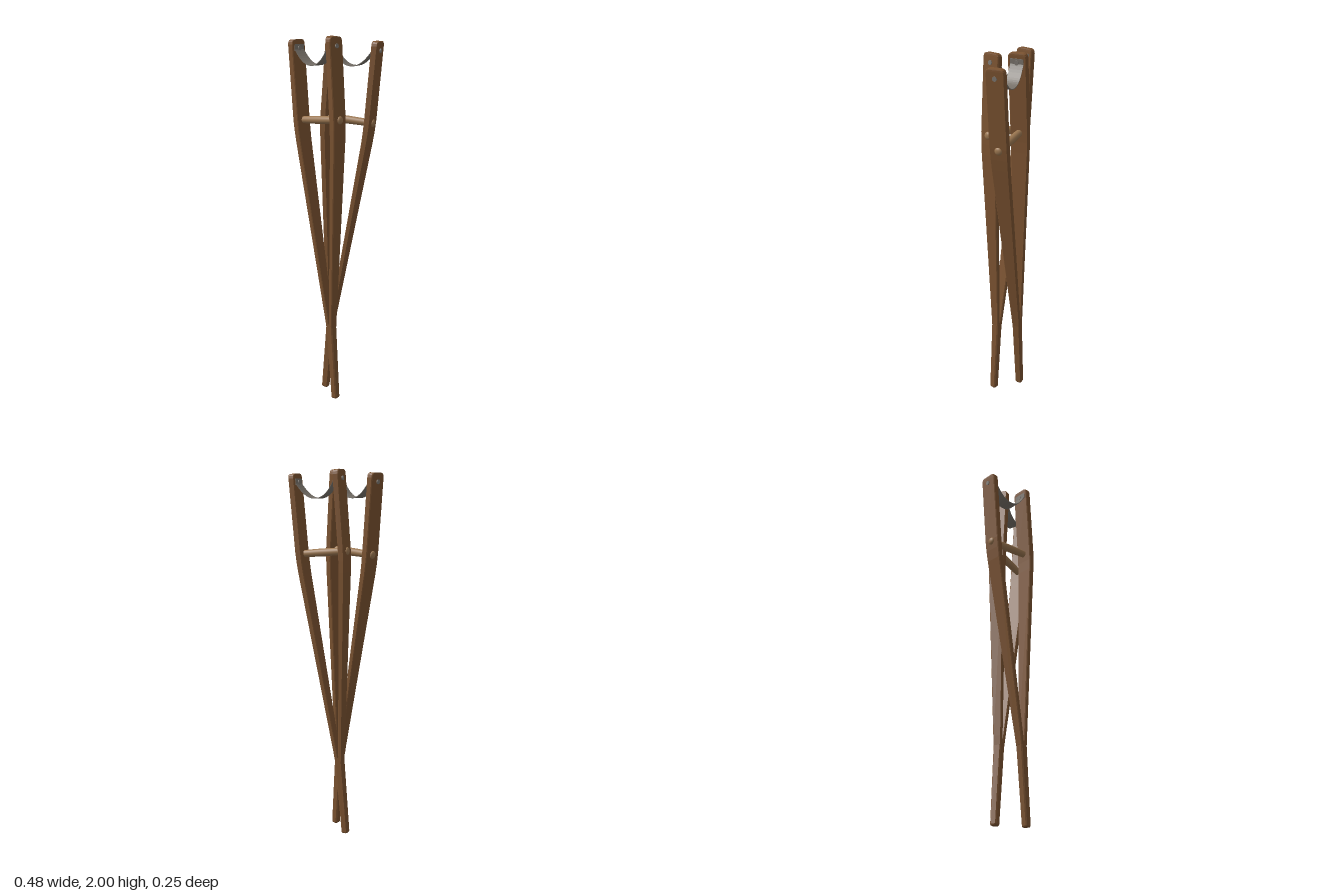
import * as THREE from 'three';

const wood = new THREE.MeshStandardMaterial({ color: 0x7a5230 });
wood.name = 'brown wood';
const paleWood = new THREE.MeshStandardMaterial({ color: 0x9a7650 });
paleWood.name = 'pale wood';
const cloth = new THREE.MeshStandardMaterial({ color: 0x78726a });
cloth.name = 'grey cloth';
const metal = new THREE.MeshStandardMaterial({ color: 0x7c7770 });
metal.name = 'grey metal';

// Loft of bevelled rectangles; each row is [y, centre x, thickness x, width z]
function loft(rows, bevel) {
  const pos = [], idx = [], n = 8;
  for (const [y, cx, t, w] of rows) {
    const a = t / 2, b = w / 2, c = Math.min(bevel, a * 0.6, b * 0.6);
    const ring = [[a, b - c], [a - c, b], [c - a, b], [-a, b - c],
      [-a, c - b], [c - a, -b], [a - c, -b], [a, c - b]];
    for (const [x, z] of ring) pos.push(cx + x, y, z);
  }
  for (let r = 0; r < rows.length - 1; r++) {
    for (let i = 0; i < n; i++) {
      const p = r * n + i, q = r * n + (i + 1) % n;
      idx.push(p, q, p + n, q, q + n, p + n);
    }
  }
  const last = (rows.length - 1) * n;
  for (let i = 1; i < n - 1; i++) {
    idx.push(0, i + 1, i);
    idx.push(last, last + i, last + i + 1);
  }
  // rings run from +z towards -x, so reverse the winding to face outwards
  for (let i = 0; i < idx.length; i += 3) [idx[i + 1], idx[i + 2]] = [idx[i + 2], idx[i + 1]];
  const g = new THREE.BufferGeometry();
  g.setAttribute('position', new THREE.Float32BufferAttribute(pos, 3));
  g.setIndex(idx);
  const flat = g.toNonIndexed();
  flat.computeVertexNormals();
  return flat;
}

function add(group, name, geometry, material) {
  const mesh = new THREE.Mesh(geometry, material);
  mesh.name = name;
  group.add(mesh);
  return mesh;
}

// Thin sagging band between the two uprights
function strapGeometry() {
  const half = 0.112, n = 24, thick = 0.004, top = [], bottom = [];
  for (let i = 0; i <= n; i++) {
    const k = (i / n) * 2 - 1;
    const x = k * half, y = 1.853 + 0.09 * Math.pow(Math.abs(k), 2.2);
    top.push(new THREE.Vector2(x, y + thick));
    bottom.push(new THREE.Vector2(x, y));
  }
  const g = new THREE.ExtrudeGeometry(new THREE.Shape([...bottom, ...top.reverse()]),
    { depth: 0.072, bevelEnabled: false });
  return g.translate(0, 0, -0.036);
}

function createCrutch(name) {
  const crutch = new THREE.Group();
  crutch.name = name;

  // Single lower leg
  add(crutch, 'lowerLeg', loft([
    [0, 0, 0.03, 0.032], [0.006, 0, 0.036, 0.038], [0.44, 0, 0.042, 0.046],
  ], 0.006), wood);

  for (const s of [-1, 1]) {
    // Upright that spreads from the leg and bends at the grip
    add(crutch, 'upright', loft([
      [0.42, s * 0.0105, 0.021, 0.045], [0.47, s * 0.014, 0.022, 0.048],
      [1.46, s * 0.118, 0.032, 0.097], [1.52, s * 0.1225, 0.033, 0.1], [1.58, s * 0.125, 0.034, 0.101],
      [1.968, s * 0.128, 0.034, 0.101], [1.981, s * 0.128, 0.034, 0.096],
      [1.989, s * 0.128, 0.033, 0.085], [1.993, s * 0.128, 0.031, 0.066],
    ], 0.004), wood);

    // Rounded end of the grip showing through the upright
    const end = add(crutch, 'gripEnd', new THREE.SphereGeometry(0.021, 20, 12), paleWood);
    end.scale.x = 0.55;
    end.position.set(s * 0.141, 1.57, 0);

    // Rivet and strap tab at the top
    const rivet = add(crutch, 'rivet', new THREE.CylinderGeometry(0.012, 0.012, 0.046, 16), metal);
    rivet.rotation.z = Math.PI / 2;
    rivet.position.set(s * 0.127, 1.947, 0);
    const tab = add(crutch, 'strapTab', new THREE.BoxGeometry(0.004, 0.035, 0.072), cloth);
    tab.position.set(s * 0.11, 1.95, 0);
  }

  // Hand grip, slightly fuller in the middle
  const profile = [[0.018, -0.13], [0.02, -0.07], [0.0215, 0], [0.02, 0.07], [0.018, 0.13]];
  const grip = add(crutch, 'handGrip',
    new THREE.LatheGeometry(profile.map(([r, y]) => new THREE.Vector2(r, y)), 20), paleWood);
  grip.rotation.z = Math.PI / 2;
  grip.position.y = 1.57;

  add(crutch, 'armStrap', strapGeometry(), cloth);
  return crutch;
}

export function createModel() {
  const model = new THREE.Group();
  model.name = 'pairOfCrutches';

  // The two crutches lean across each other
  const front = createCrutch('frontCrutch');
  front.rotation.set(0, -0.13, 0.071, 'YXZ');
  front.position.set(0.05, 0.001, 0.073);

  const back = createCrutch('backCrutch');
  back.rotation.set(0, 0.15, -0.086, 'YXZ');
  back.position.set(-0.078, 0.001, -0.025);

  model.add(front, back);
  return model;
}
